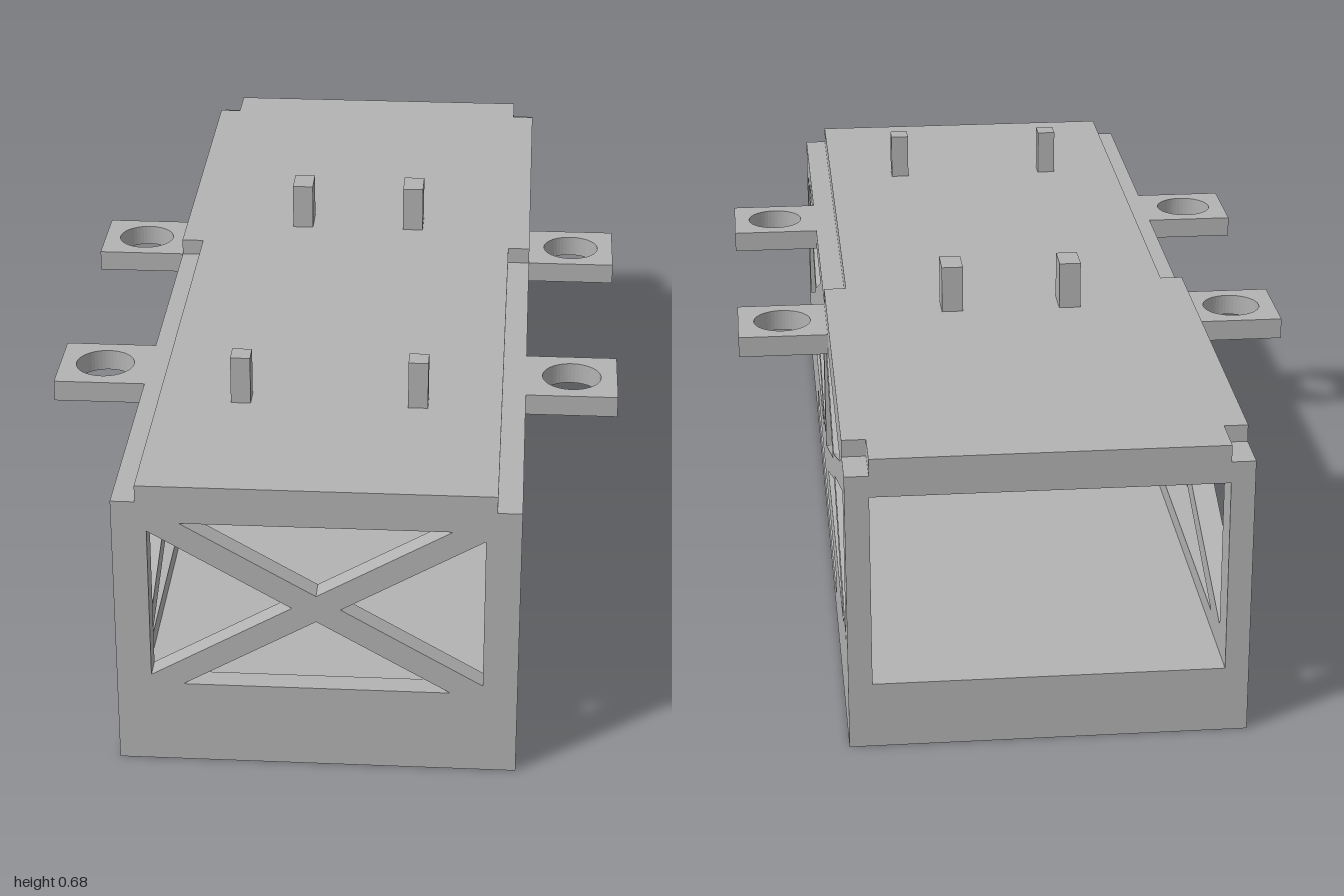
import * as THREE from 'three';

const W = 0.375, T = 0.045, IN = W - T;            // half width, wall thickness, inner half width
const FLOOR = 0.13, LOW = 0.167, HIGH = 0.51, LEDGE = 0.552, TOP = 0.585;

const polygon = (pts, Type = THREE.Shape) => new Type(pts.map(([a, b]) => new THREE.Vector2(a, b)));
const rect = (a0, b0, a1, b1, Type) => polygon([[a0, b0], [a1, b0], [a1, b1], [a0, b1]], Type);
const extrude = (shape, depth) =>
  new THREE.ExtrudeGeometry(shape, { depth, bevelEnabled: false, curveSegments: 24 });

// Four triangular openings that leave an X brace between u0 and u1
function addTruss(shape, u0, u1, inset) {
  const c = (u0 + u1) / 2, m = (LOW + HIGH) / 2, dy = 0.018, au = 0.045, av = 0.027;
  [
    [[u0, LOW + dy], [c - au, m], [u0, HIGH - dy]],
    [[u1, LOW + dy], [u1, HIGH - dy], [c + au, m]],
    [[u0 + inset, HIGH], [c, m + av], [u1 - inset, HIGH]],
    [[u0 + inset, LOW], [u1 - inset, LOW], [c, m - av]],
  ].forEach((tri) => shape.holes.push(polygon(tri, THREE.Path)));
}

export function createModel() {
  const model = new THREE.Group();
  model.name = 'trussBox';
  const grey = new THREE.MeshStandardMaterial({ color: 0xb3b3b3 });
  grey.name = 'grey';

  const add = (name, geometry) => {
    const mesh = new THREE.Mesh(geometry, grey);
    mesh.name = name;
    model.add(mesh);
  };
  const box = (name, x0, x1, y0, y1, z0, z1) =>
    add(name, new THREE.BoxGeometry(x1 - x0, y1 - y0, z1 - z0)
      .translate((x0 + x1) / 2, (y0 + y1) / 2, (z0 + z1) / 2));

  // Solid base and roof core between the walls
  box('base', -IN, IN, 0, FLOOR, -1, 1 - T);
  box('roofCore', -IN, IN, HIGH, LEDGE, -1, 1 - T);

  // Side walls: two braced bays and a long slot
  const side = rect(-1, 0, 1, LEDGE);
  addTruss(side, 0.022, 0.935, 0.095);
  addTruss(side, -0.93, -0.015, 0.095);
  side.holes.push(rect(-0.455, 0.043, 0.55, 0.092, THREE.Path));
  for (const [name, x] of [['leftWall', W], ['rightWall', -IN]]) {
    add(name, extrude(side, T).rotateY(-Math.PI / 2).translate(x, 0, 0));
  }

  // Front wall with one braced bay
  const front = rect(-IN, 0, IN, LEDGE);
  addTruss(front, -0.31, 0.31, 0.06);
  add('frontWall', extrude(front, T).translate(0, 0, 1 - T));

  // Roof plate, stepped in along the ledges
  const half = [[IN, 1], [IN, -0.12], [W, -0.12], [W, -0.91], [IN, -0.91], [IN, -1]];
  const roof = polygon([...half, ...half.map(([x, z]) => [-x, z]).reverse()]);
  add('roofPlate', extrude(roof, TOP - LEDGE).rotateX(Math.PI / 2).translate(0, TOP, 0));

  for (const s of [1, -1]) {
    const label = s > 0 ? 'left' : 'right';
    // Mounting tabs with round holes
    [['FrontTab', 0.43], ['BackTab', -0.208]].forEach(([name, z]) => {
      const tab = rect(-0.09, -0.088, 0.09, 0.088);
      const hole = new THREE.Path();
      hole.absarc(0, 0, 0.058, 0, Math.PI * 2, true);
      tab.holes.push(hole);
      add(label + name, extrude(tab, LEDGE - HIGH)
        .rotateX(Math.PI / 2).translate(s * (W + 0.09), LEDGE, z));
    });
    // Roof pegs
    const peg = (name, cx, w, z0, z1) =>
      box(label + name, s * cx - w / 2, s * cx + w / 2, TOP, 0.68, z0, z1);
    peg('FrontPeg', 0.17, 0.038, 0.612, 0.654);
    peg('BackPeg', 0.12, 0.043, -0.275, -0.208);
  }
  return model;
}
